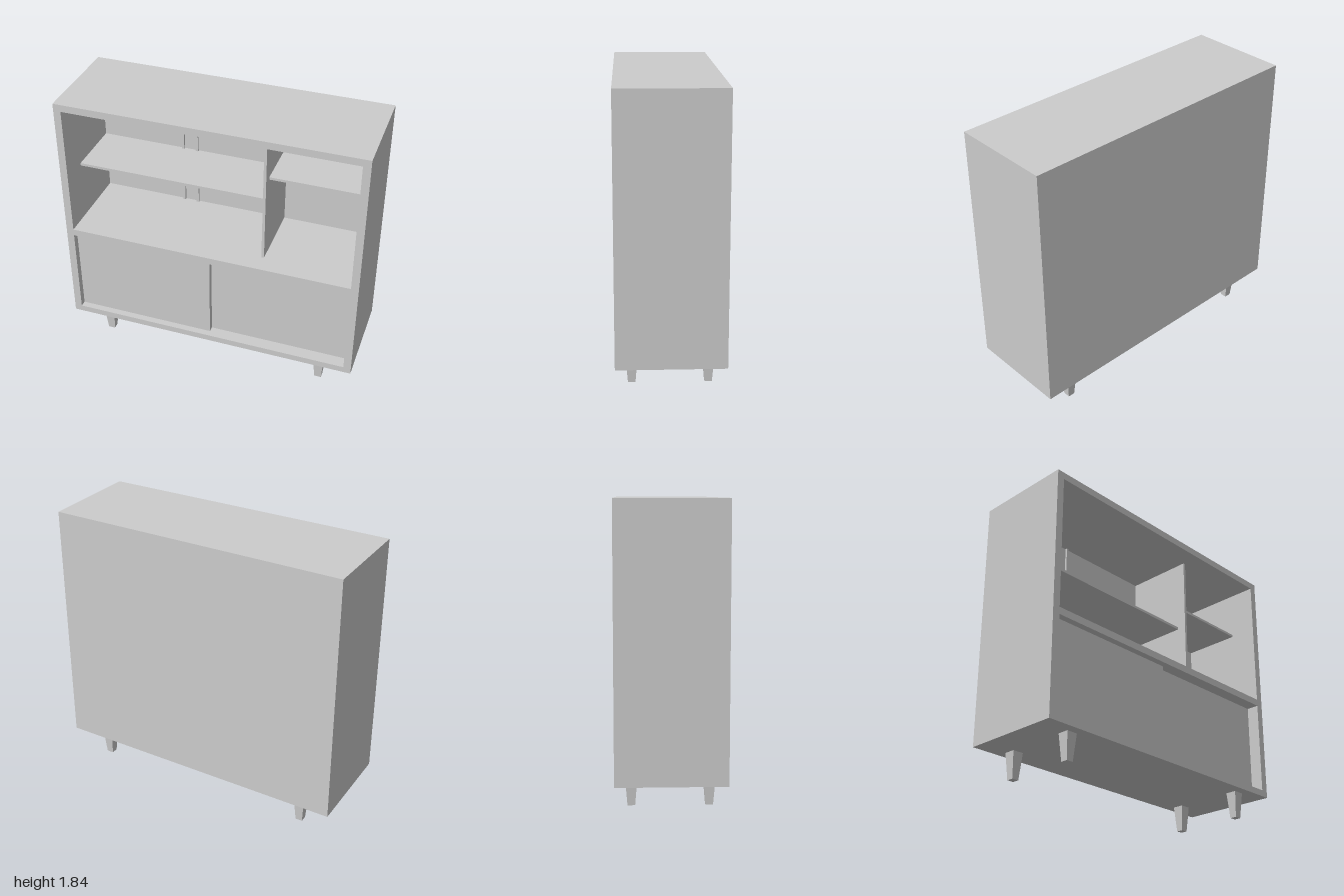
import * as THREE from 'three';

const material = new THREE.MeshStandardMaterial({ color: 0xcccccc, flatShading: true });

// Box given by its minimum and maximum corners
function box(name, [x0, y0, z0], [x1, y1, z1]) {
  const mesh = new THREE.Mesh(new THREE.BoxGeometry(x1 - x0, y1 - y0, z1 - z0), material);
  mesh.name = name;
  mesh.position.set((x0 + x1) / 2, (y0 + y1) / 2, (z0 + z1) / 2);
  return mesh;
}

// Closed rectangle for shapes and holes
function rectangle(PathType, x0, y0, x1, y1) {
  const path = new PathType();
  path.moveTo(x0, y0).lineTo(x1, y0).lineTo(x1, y1).lineTo(x0, y1).closePath();
  return path;
}

export function createModel() {
  const model = new THREE.Group();
  model.name = 'cabinet';

  const halfDepth = 0.335, backZ = -0.26;
  const bottom = 0.172, top = 1.835;
  const openX = 0.95, openBottom = 0.885, openTop = 1.787;
  const doorBottom = 0.215, doorTop = 0.838;

  // Carcass: a frame with an upper open bay and a lower door bay
  const outline = rectangle(THREE.Shape, -1, bottom, 1, top);
  outline.holes.push(
    rectangle(THREE.Path, -openX, openBottom, openX, openTop),
    rectangle(THREE.Path, -openX, doorBottom, openX, doorTop)
  );
  const frame = new THREE.Mesh(
    new THREE.ExtrudeGeometry(outline, { depth: halfDepth - backZ, bevelEnabled: false }),
    material
  );
  frame.name = 'carcassFrame';
  frame.position.z = backZ;
  model.add(frame);
  model.add(box('backPanel', [-1, bottom, -halfDepth], [1, top, backZ]));

  // Sliding doors on two tracks, one in front of the other
  model.add(box('frontSlidingDoor', [-openX, doorBottom, 0.25], [0, doorTop, 0.29]));
  model.add(box('rearSlidingDoor', [-0.03, doorBottom, 0.21], [openX, doorTop, 0.25]));

  // Upright divider and the shelves on either side of it
  model.add(box('divider', [0.329, openBottom, backZ], [0.347, openTop, 0.21]));
  model.add(box('wideShelf', [-openX, 1.28, backZ], [0.329, 1.298, 0.145]));
  model.add(box('smallShelf', [0.347, 1.449, backZ], [openX, 1.466, 0.145]));

  // Thin battens on the back panel
  model.add(box('tallBatten', [-0.382, openBottom, backZ], [-0.366, openTop, -0.245]));
  model.add(box('shortBatten', [-0.284, openBottom, backZ], [-0.268, 1.42, -0.245]));

  // Square tapered legs
  const legGeometry = new THREE.CylinderGeometry(0.037 * Math.SQRT2, 0.023 * Math.SQRT2, bottom, 4);
  legGeometry.rotateY(Math.PI / 4);
  for (const x of [-1, 1]) {
    for (const z of [-1, 1]) {
      const leg = new THREE.Mesh(legGeometry, material);
      leg.name = (z > 0 ? 'front' : 'back') + (x > 0 ? 'Left' : 'Right') + 'Leg';
      leg.position.set(x * 0.766, bottom / 2, z * 0.235);
      model.add(leg);
    }
  }

  return model;
}
